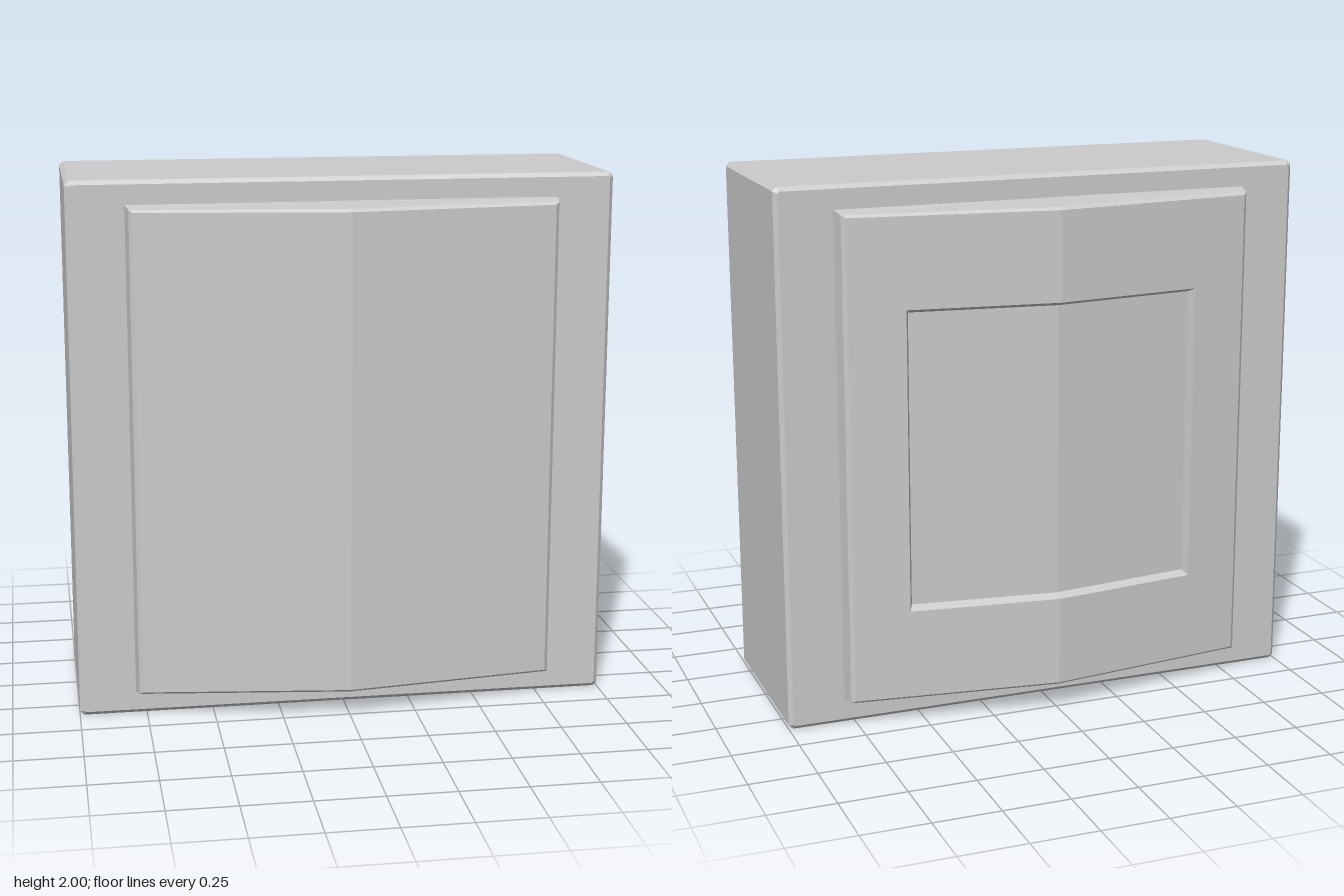
import * as THREE from 'three';

const grey = new THREE.MeshStandardMaterial({ color: 0xcccccc, flatShading: true });

// Depth of the ridged face: highest at the middle, falling to both sides.
const ridge = (x) => 0.532 - 0.125 * Math.abs(x);

// Box with a small chamfer on every edge.
function chamferedBox(w, h, d, c) {
  const x = w / 2, y = h / 2;
  const outline = [
    [x - c, -y], [x, -y + c], [x, y - c], [x - c, y],
    [-x + c, y], [-x, y - c], [-x, -y + c], [-x + c, -y],
  ].map(([px, py]) => new THREE.Vector2(px, py));
  const geometry = new THREE.ExtrudeGeometry(new THREE.Shape(outline), {
    depth: d - 2 * c, bevelThickness: c, bevelSize: c, bevelOffset: -c, bevelSegments: 1,
  });
  return geometry.translate(0, 0, -d / 2 + c);
}

// Panel lofted through rings of { w, h: half sizes, z: depth as a function of x }.
function loftPanel(rings) {
  const positions = [], index = [];
  for (const { w, h, z } of rings) {
    for (const [x, y] of [[-w, -h], [0, -h], [w, -h], [w, h], [0, h], [-w, h]]) {
      positions.push(x, y, z(x));
    }
  }
  for (let r = 0; r < rings.length - 1; r++) {
    for (let i = 0; i < 6; i++) {
      const a = r * 6 + i, b = r * 6 + (i + 1) % 6;
      index.push(a, b, b + 6, a, b + 6, a + 6);
    }
  }
  // Two flat halves close the face
  const n = (rings.length - 1) * 6;
  index.push(n, n + 1, n + 4, n, n + 4, n + 5, n + 1, n + 2, n + 3, n + 1, n + 3, n + 4);
  const geometry = new THREE.BufferGeometry();
  geometry.setAttribute('position', new THREE.Float32BufferAttribute(positions, 3));
  geometry.setIndex(index);
  geometry.computeVertexNormals();
  return geometry;
}

export function createModel() {
  const model = new THREE.Group();
  const add = (name, geometry) => {
    const mesh = new THREE.Mesh(geometry, grey);
    mesh.name = name;
    mesh.position.y = 1;
    model.add(mesh);
    return mesh;
  };

  add('body', chamferedBox(2, 2, 0.73, 0.015));

  // Tapered panel sides, thin chamfer, ridged face
  const panel = [
    { w: 0.792, h: 0.914, z: () => 0.355 },
    { w: 0.78, h: 0.902, z: (x) => ridge(x) - 0.012 },
    { w: 0.766, h: 0.892, z: ridge },
  ];
  add('frontPanel', loftPanel(panel));

  // Rear panel has a shallow recess that follows the ridge
  const recess = [
    { w: 0.56, h: 0.56, z: ridge },
    { w: 0.545, h: 0.545, z: (x) => ridge(x) - 0.033 },
  ];
  add('backPanel', loftPanel([...panel, ...recess])).rotation.y = Math.PI;

  return model;
}
